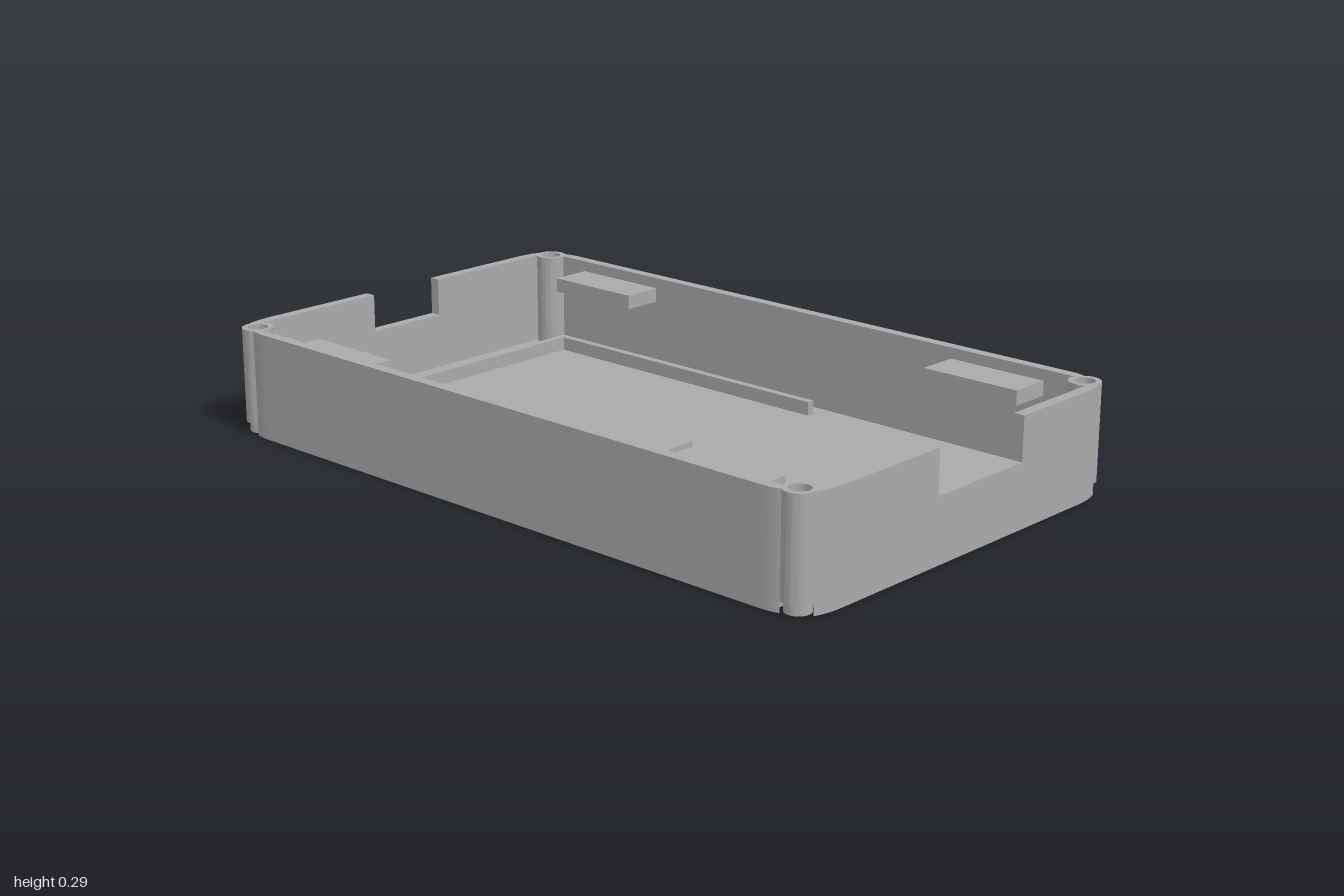
import * as THREE from 'three';
import { toCreasedNormals } from 'three/addons/utils/BufferGeometryUtils.js';

const PX = 0.944, PZ = 0.548, PR = 0.042, HOLE = 0.027; // screw posts
const FLOOR = 0.03, SILL = 0.172, TOP = 0.29;

const V = (x, z) => new THREE.Vector2(x, z);

// arc about the post centre, angles in degrees
function arc(r, a0, a1, n = 16) {
  return Array.from({ length: n + 1 }, (_, i) => {
    const a = THREE.MathUtils.degToRad(a0 + (a1 - a0) * i / n);
    return V(PX + r * Math.cos(a), PZ + r * Math.sin(a));
  });
}
const bend = (a, b, c) => new THREE.QuadraticBezierCurve(a, b, c).getPoints(6);

// corner profiles in the +x +z quadrant, running from the side to the front
const sideBend = bend(V(1, 0.46), V(1, 0.51), V(0.986, 0.545));
const frontBend = bend(V(0.92, 0.582), V(0.9, 0.59), V(0.86, 0.59));
const outer = [...sideBend, ...arc(PR, 0, 120), ...frontBend];
const inner = [V(0.97, 0.47), ...arc(PR, -52, -197), V(0.88, 0.56)];
const base = [...sideBend, ...arc(0.046, -8, -230), ...frontBend];

// corner mirrored into another quadrant
const mirror = (pts, sx, sz) => pts.map(p => V(p.x * sx, p.y * sz));

function loop(c) {
  return [...c, ...mirror(c, -1, 1).reverse(), ...mirror(c, -1, -1), ...mirror(c, 1, -1).reverse()];
}

function postHole(sx, sz) {
  return new THREE.Path().absarc(sx * PX, sz * PZ, HOLE, 0, Math.PI * 2);
}

// extrude a plan shape between two heights
function slab(shape, y0, y1) {
  const g = new THREE.ExtrudeGeometry(shape, { depth: y1 - y0, bevelEnabled: false, curveSegments: 24 });
  g.rotateX(Math.PI / 2).translate(0, y1, 0);
  return toCreasedNormals(g, 0.5);
}

export function createModel() {
  const model = new THREE.Group();
  const grey = new THREE.MeshStandardMaterial({ color: 0xaaaaaa });
  grey.name = 'grey plastic';

  const add = (name, geometry) => {
    const m = new THREE.Mesh(geometry, grey);
    m.name = name;
    model.add(m);
  };
  const box = (name, x0, x1, y0, y1, z0, z1) =>
    add(name, new THREE.BoxGeometry(x1 - x0, y1 - y0, z1 - z0)
      .translate((x0 + x1) / 2, (y0 + y1) / 2, (z0 + z1) / 2));

  // floor with screw recesses at the corners
  add('floor', slab(new THREE.Shape(loop(base)), 0, FLOOR));

  // closed lower wall with posts
  const ring = new THREE.Shape(loop(outer));
  ring.holes.push(new THREE.Path(loop(inner)));
  for (const sx of [1, -1]) for (const sz of [1, -1]) ring.holes.push(postHole(sx, sz));
  add('lowerWall', slab(ring, FLOOR, SILL));

  // upper wall, open at a cutout on each side
  const upperWall = (name, s, zLeft, zRight) => {
    const shape = new THREE.Shape([
      V(1, s * zLeft), ...mirror(outer, 1, s), ...mirror(outer, -1, s).reverse(), V(-1, s * zRight),
      V(-0.97, s * zRight), ...mirror(inner, -1, s), ...mirror(inner, 1, s).reverse(), V(0.97, s * zLeft),
    ]);
    shape.holes.push(postHole(1, s), postHole(-1, s));
    add(name, slab(shape, SILL, TOP));
  };
  upperWall('upperWallFront', 1, 0.12, 0.12);
  upperWall('upperWallBack', -1, 0.21, 0.12);
  box('rightCutoutSill', -1, -0.97, SILL, 0.185, -0.12, 0.12);

  for (const sx of [1, -1]) for (const sz of [1, -1]) {
    // small collar below each post
    const collar = new THREE.Shape().absarc(sx * PX, sz * PZ, 0.033, 0, Math.PI * 2);
    collar.holes.push(postHole(sx, sz));
    add('screwCollar', slab(collar, 0.002, FLOOR));
    // support tabs under the rim
    const x = sx * 0.67, z = sz * 0.5025;
    box('supportTab', x - 0.145, x + 0.145, 0.22, 0.26, z - 0.0585, z + 0.0585);
  }

  // low locating rib on the floor, open at one side
  const t = 0.022;
  const rib = new THREE.Shape([
    V(0.108, -0.51), V(-0.855, -0.51), V(-0.855, 0.188), V(0.108, 0.188), V(0.108, 0.028), V(0.108, 0.028 - 0.05),
    V(0.108 - t, 0.028 - 0.05), V(0.108 - t, 0.188 - t), V(-0.855 + t, 0.188 - t),
    V(-0.855 + t, -0.51 + t), V(0.108, -0.51 + t),
  ]);
  add('locatingRib', slab(rib, FLOOR, 0.068));

  return model;
}
